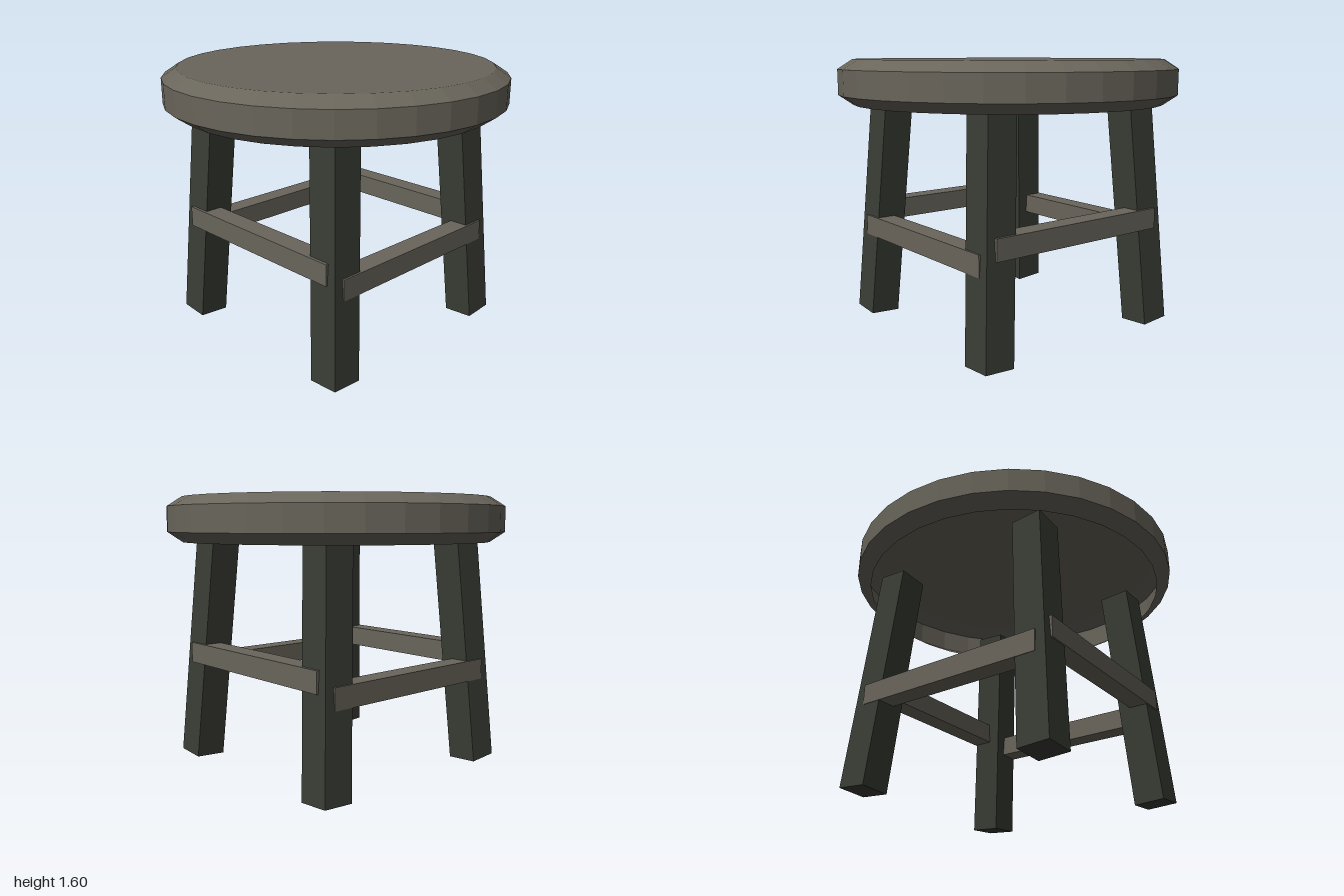
import * as THREE from 'three';

export function createModel() {
  const group = new THREE.Group();
  const paleWood = new THREE.MeshStandardMaterial({ color: 0x69655b, flatShading: true });
  const shellWood = paleWood.clone();
  shellWood.side = THREE.DoubleSide;
  const darkWood = new THREE.MeshStandardMaterial({ color: 0x3a3d35, flatShading: true });

  const add = (name, geometry, material) => {
    const mesh = new THREE.Mesh(geometry, material);
    mesh.name = name;
    group.add(mesh);
    return mesh;
  };

  // Round seat with chamfered rims: a shell left open underneath
  const profile = [[0.915, 1.342], [1, 1.4], [1, 1.545], [0.915, 1.6], [0, 1.6]]
    .map(([r, y]) => new THREE.Vector2(r, y));
  add('seat', new THREE.LatheGeometry(profile, 32), shellWood);

  // Four square legs splayed outwards in both directions, ending just inside the seat
  const legLength = 1.385;
  const tilt = Math.atan(0.09 / 1.335);
  for (const sz of [1, -1]) {
    for (const sx of [1, -1]) {
      const leg = add(`${sz > 0 ? 'front' : 'back'}${sx > 0 ? 'Left' : 'Right'}Leg`,
        new THREE.BoxGeometry(0.184, legLength, 0.184), darkWood);
      leg.position.set(sx * 0.554, 0.009 + legLength / 2, sz * 0.554);
      leg.rotation.set(-sz * tilt, 0, sx * tilt);
    }
  }

  // Stretchers: front and back sit higher than the two sides
  for (const s of [1, -1]) {
    add(s > 0 ? 'frontStretcher' : 'backStretcher',
      new THREE.BoxGeometry(1.195, 0.123, 0.123), paleWood).position.set(0, 0.658, s * 0.601);
    add(s > 0 ? 'leftStretcher' : 'rightStretcher',
      new THREE.BoxGeometry(0.123, 0.123, 1.195), paleWood).position.set(s * 0.601, 0.572, 0);
  }
  return group;
}
